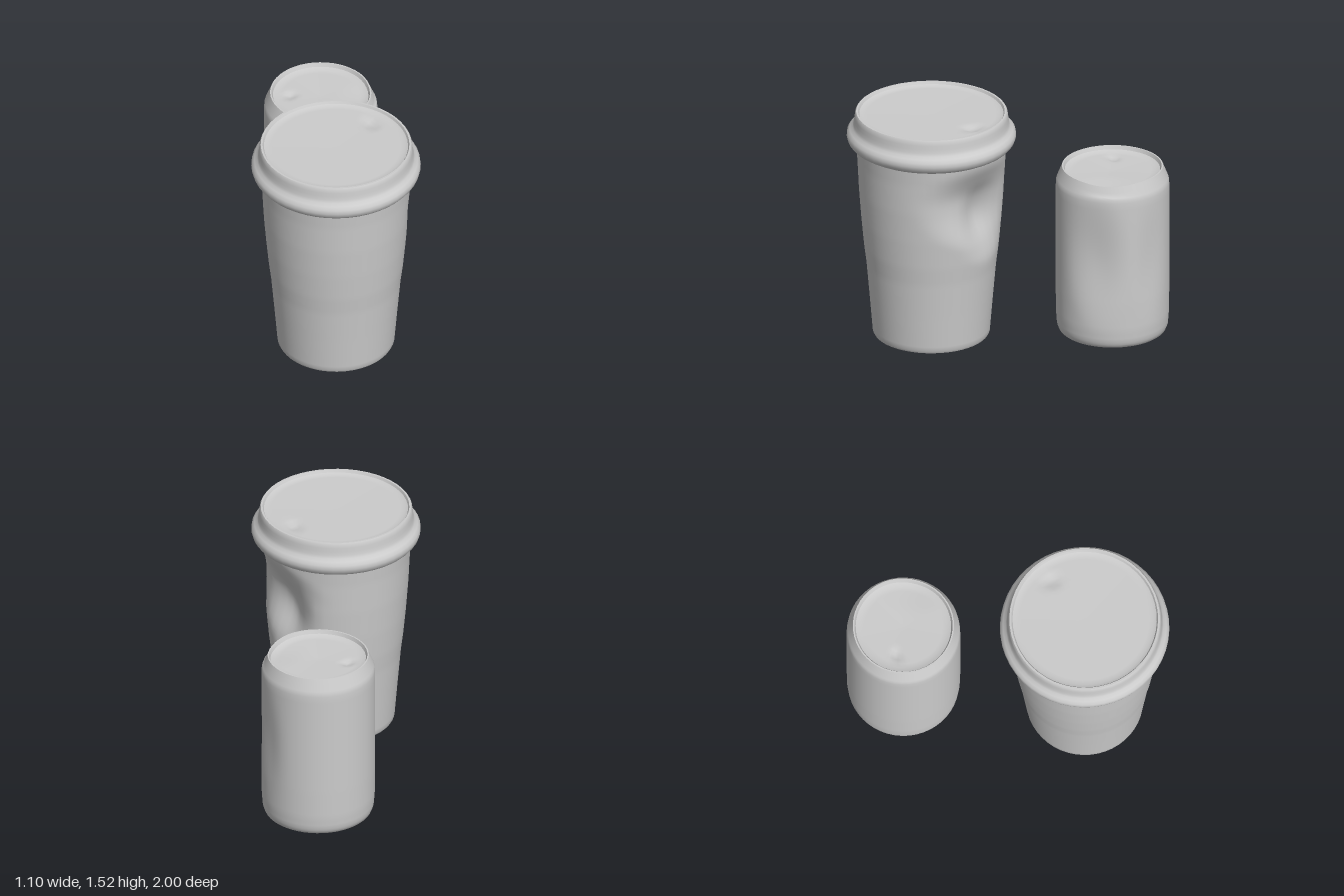
import * as THREE from 'three';
import { toCreasedNormals } from 'three/addons/utils/BufferGeometryUtils.js';

const material = new THREE.MeshStandardMaterial({ color: 0xcccccc, side: THREE.DoubleSide });

// Split the profile into short steps so that dents can bend the surface
function refine(profile, step = 0.03) {
  const points = [];
  profile.forEach(([r, y], i) => {
    if (i > 0) {
      const [r0, y0] = profile[i - 1];
      const n = Math.ceil(Math.hypot(r - r0, y - y0) / step);
      for (let k = 1; k < n; k++) {
        points.push(new THREE.Vector2(r0 + (r - r0) * k / n, y0 + (y - y0) * k / n));
      }
    }
    points.push(new THREE.Vector2(r, y));
  });
  return points;
}

// Smooth bump: 1 in the middle, 0 outside the unit circle
const falloff = (u, v) => 1 - THREE.MathUtils.smoothstep(Math.hypot(u, v), 0, 1);

// Turned part; side dents push inward, dimples push down on the top.
// Angles run from the back (-z) towards +x, in radians.
function turned(name, profile, { dents = [], dimples = [], crease = 0.7 } = {}) {
  const geometry = new THREE.LatheGeometry(refine(profile), 48);
  const p = geometry.attributes.position;
  for (let i = 0; i < p.count; i++) {
    const x = p.getX(i), y = p.getY(i), z = p.getZ(i);
    const r = Math.hypot(x, z);
    const angle = Math.atan2(x, -z);
    let push = 0, drop = 0;
    for (const d of dents) {
      const h = (y - d.y) / (y > d.y ? d.up : d.down);
      push += d.depth * falloff((angle - d.angle) / d.spread, h);
    }
    for (const d of dimples) {
      if (y > d.above) drop += d.depth * falloff((x - d.x) / d.size, (z - d.z) / d.size);
    }
    const s = r > 0.2 ? (r - push) / r : 1;
    p.setXYZ(i, x * s, y - drop, z * s);
  }
  const mesh = new THREE.Mesh(toCreasedNormals(geometry, crease), material);
  mesh.name = name;
  return mesh;
}

export function createModel() {
  const model = new THREE.Group();

  // Crushed takeaway cup
  const cup = new THREE.Group();
  cup.name = 'coffeeCup';
  cup.position.set(0.03, 0, 0.472);
  cup.add(turned('cupBody', [
    [0, 0.03], [0.358, 0.025], [0.366, 0.04], [0.385, 0.27], [0.405, 0.5],
    [0.42, 0.62], [0.437, 0.8], [0.452, 1.0], [0.462, 1.2], [0.472, 1.32],
  ], {
    dents: [
      { angle: 0.75, spread: 0.95, y: 1.05, up: 0.26, down: 0.34, depth: 0.085 },
      { angle: 0.52, spread: 0.6, y: 0.87, up: 0.3, down: 0.3, depth: 0.075 },
    ],
  }));
  cup.add(turned('cupLid', [
    [0.455, 1.29], [0.478, 1.3], [0.505, 1.315], [0.522, 1.335], [0.529, 1.36],
    [0.526, 1.385], [0.51, 1.405], [0.492, 1.42], [0.485, 1.44], [0.476, 1.51],
    [0.47, 1.52], [0.458, 1.52], [0.45, 1.505], [0.43, 1.497], [0, 1.492],
  ], { dimples: [{ x: 0.19, z: -0.275, size: 0.075, depth: 0.022, above: 1.47 }] }));
  model.add(cup);

  // Lightly dented drinks can
  const can = new THREE.Group();
  can.name = 'drinkCan';
  can.position.set(-0.19, 0, -0.642);
  can.add(turned('canBody', [
    [0, 0.004], [0.325, 0], [0.335, 0.008], [0.347, 0.04], [0.353, 0.12],
    [0.355, 0.3], [0.355, 0.97], [0.352, 1.01], [0.34, 1.04], [0.322, 1.085],
    [0.316, 1.1], [0.307, 1.1], [0.298, 1.078], [0.27, 1.068], [0, 1.06],
  ], {
    dents: [
      { angle: 1.75, spread: 0.65, y: 0.58, up: 0.48, down: 0.48, depth: 0.035 },
      { angle: 0.75, spread: 0.4, y: 0.55, up: 0.45, down: 0.45, depth: 0.014 },
    ],
    dimples: [
      { x: -0.19, z: 0.01, size: 0.055, depth: 0.018, above: 1.03 },
      { x: 0.32, z: 0, size: 0.24, depth: 0.012, above: 1.03 },
    ],
  }));
  model.add(can);

  return model;
}
